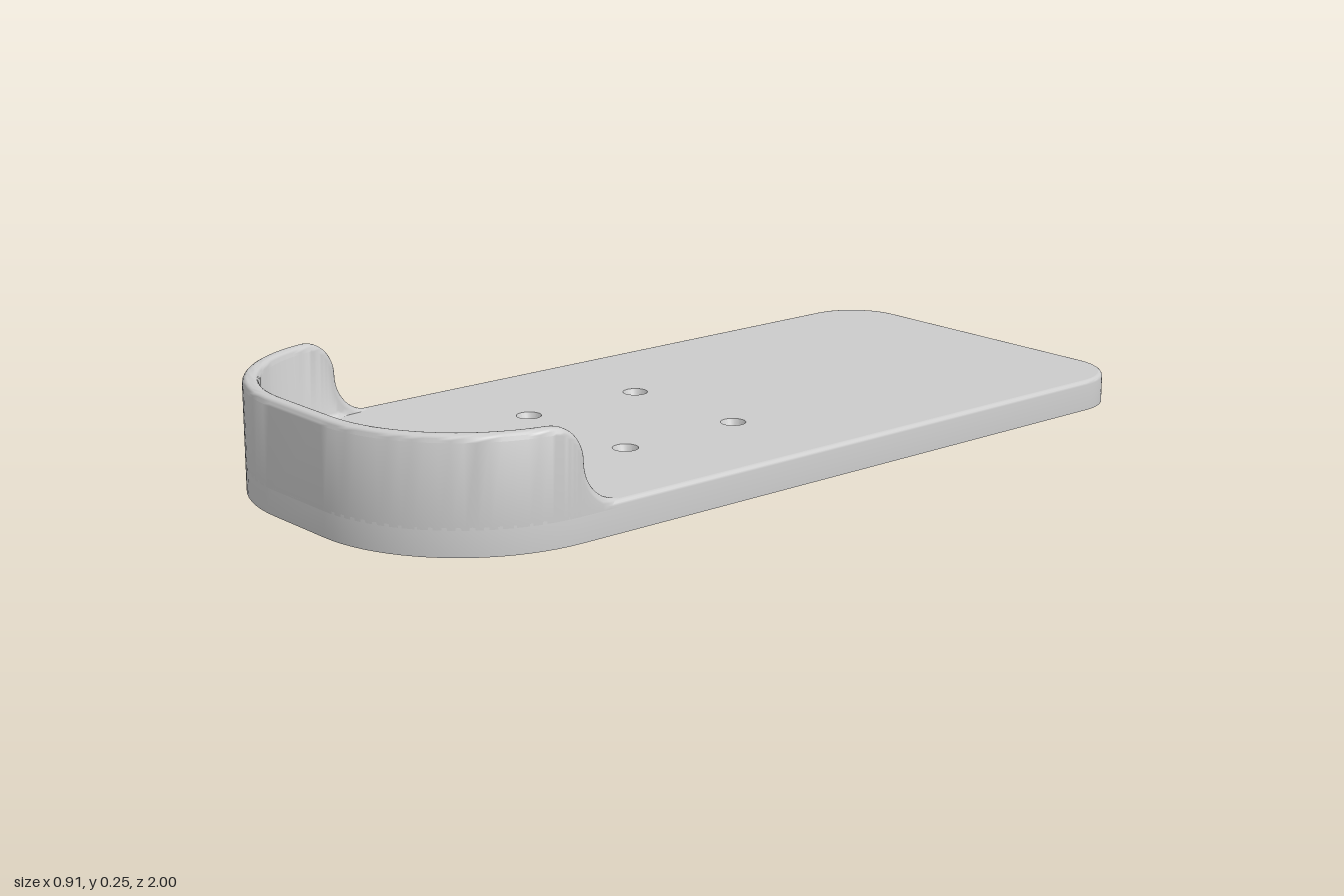
import * as THREE from 'three';
import { toCreasedNormals } from 'three/addons/utils/BufferGeometryUtils.js';

const W = 0.453;             // half width
const RF = 0.36, RB = 0.14;  // front and back corner radii
const TOP = 0.07;            // plate thickness
const WALL = 0.035;          // rim thickness
const EDGE = 0.015;          // rim edge rounding
const START = 0.53;          // z where the rim rises from the plate

const material = new THREE.MeshStandardMaterial({ color: 0xcccccc });

// Skin a grid of cross-sections (rows of equal length) into one surface
function loft(rows, closed = false) {
  const n = rows[0].length, index = [];
  const last = closed ? rows.length : rows.length - 1;
  for (let i = 0; i < last; i++) {
    for (let j = 0; j < n - 1; j++) {
      const a = i * n + j, c = ((i + 1) % rows.length) * n + j;
      index.push(a, a + 1, c, a + 1, c + 1, c);
    }
  }
  const g = new THREE.BufferGeometry();
  g.setAttribute('position', new THREE.Float32BufferAttribute(rows.flat(2), 3));
  g.setIndex(index);
  return toCreasedNormals(g, 0.7);
}

// Plate outline as [x, z] points, shrunk by an inset
function outline(inset) {
  const corners = [
    [W - RF, 1 - RF, RF], [-W + RF, 1 - RF, RF],
    [-W + RB, -1 + RB, RB], [W - RB, -1 + RB, RB],
  ];
  const pts = [];
  corners.forEach(([cx, cz, r], k) => {
    for (let i = 0; i <= 20; i++) {
      const a = (k + i / 20) * Math.PI / 2;
      pts.push([cx + (r - inset) * Math.cos(a), cz + (r - inset) * Math.sin(a)]);
    }
  });
  return pts;
}

const holes = [];
for (const x of [-0.155, 0.178]) for (const z of [-0.005, 0.3]) holes.push([x, z]);

// Flat plate face with the screw holes cut out; dir is 1 for top, -1 for bottom
function face(inset, holeRadius, y, dir) {
  const shape = new THREE.Shape(outline(inset).map(([x, z]) => new THREE.Vector2(x, -dir * z)));
  for (const [x, z] of holes) {
    shape.holes.push(new THREE.Path().absarc(x, -dir * z, holeRadius, 0, Math.PI * 2));
  }
  return new THREE.ShapeGeometry(shape, 12).rotateX(-dir * Math.PI / 2).translate(0, y, 0);
}

// Point on the U-shaped rim at arc length s, moved inwards by an inset
const straight = 1 - RF - START, arc = RF * Math.PI / 2;
const half = straight + arc + (W - RF);
function rimPoint(s, inset, y) {
  const side = s > half ? -1 : 1;
  const t = s > half ? 2 * half - s : s;
  if (t < straight) return [side * (W - inset), y, START + t];
  if (t > straight + arc) return [side * (half - t), y, 1 - inset];
  const a = (t - straight) / RF;
  return [side * (W - RF + (RF - inset) * Math.cos(a)), y, 1 - RF + (RF - inset) * Math.sin(a)];
}

// Rim cross-section at a station: [s, height, edge normal along s, edge normal up]
function rimSection([s, h, ns, ny]) {
  const row = [];
  const add = (inset, drop, floor) =>
    row.push(rimPoint(s - drop * ns, inset, Math.max(h - drop * ny, floor)));
  const base = s - EDGE * ns;
  row.push(rimPoint(base, 0, TOP - EDGE));
  for (let i = 0; i <= 5; i++) {
    const a = i / 5 * Math.PI / 2;
    add(EDGE * (1 - Math.cos(a)), EDGE * (1 - Math.sin(a)), TOP - EDGE);
  }
  for (let i = 5; i >= 0; i--) {
    const a = i / 5 * Math.PI / 2;
    add(WALL - EDGE * (1 - Math.cos(a)), EDGE * (1 - Math.sin(a)), TOP - 0.001);
  }
  // fillet where the inner face meets the plate
  const f = Math.max(0, Math.min(0.02, (h - EDGE - TOP) / 2));
  for (let i = 0; i <= 4; i++) {
    const a = i / 4 * Math.PI / 2;
    row.push(rimPoint(base, WALL + f * (1 - Math.cos(a)), TOP - 0.0005 + f * (1 - Math.sin(a))));
  }
  return row;
}

function rimStations() {
  const list = [], r1 = 0.095, r2 = 0.08, mid = TOP + r1;
  // S-curve end: concave sweep, then convex shoulder
  for (let i = 0; i <= 12; i++) {
    const a = (i / 12 - 1) * Math.PI / 2;
    list.push([r1 * Math.cos(a), mid + r1 * Math.sin(a), -Math.cos(a), -Math.sin(a)]);
  }
  for (let i = 1; i <= 12; i++) {
    const a = Math.PI * (1 - i / 24);
    list.push([r1 + r2 + r2 * Math.cos(a), mid + r2 * Math.sin(a), Math.cos(a), Math.sin(a)]);
  }
  // level run around the front corner
  const from = r1 + r2, to = straight + arc;
  for (let i = 1; i <= 20; i++) list.push([from + (to - from) * i / 20, mid + r2, 0, 1]);
  const mirrored = list.map(([s, h, ns, ny]) => [2 * half - s, h, -ns, ny]).reverse();
  return [...list, ...mirrored];
}

export function createModel() {
  const group = new THREE.Group();
  const add = (name, geometry, parent = group) => {
    const mesh = new THREE.Mesh(geometry, material);
    mesh.name = name;
    parent.add(mesh);
    return mesh;
  };

  // Base plate with a softened upper edge
  const plate = new THREE.Group();
  plate.name = 'basePlate';
  group.add(plate);
  const bevel = 0.01;
  const rings = [[0, 0]];
  for (let i = 0; i <= 4; i++) {
    const a = i / 4 * Math.PI / 2;
    rings.push([bevel * (1 - Math.cos(a)), TOP - bevel + bevel * Math.sin(a)]);
  }
  const loops = rings.map(([inset, y]) => outline(inset).map(([x, z]) => [x, y, z]));
  const columns = loops[0].map((_, i) => loops.map((loop) => loop[i]));
  add('plateEdge', loft(columns, true), plate);
  add('plateTop', face(bevel, 0.028, TOP, 1), plate);
  add('plateBottom', face(0, 0.017, 0, -1), plate);

  // Countersunk screw holes
  const bore = [[0.028, TOP], [0.017, 0.045], [0.017, 0]].map(([r, y]) => new THREE.Vector2(r, y));
  for (const [x, z] of holes) {
    const hole = add('screwHole', toCreasedNormals(new THREE.LatheGeometry(bore, 24), 0.4), plate);
    hole.position.set(x, 0, z);
  }

  // Raised rim around the front end
  add('frontRim', loft(rimStations().map(rimSection)));
  return group;
}
